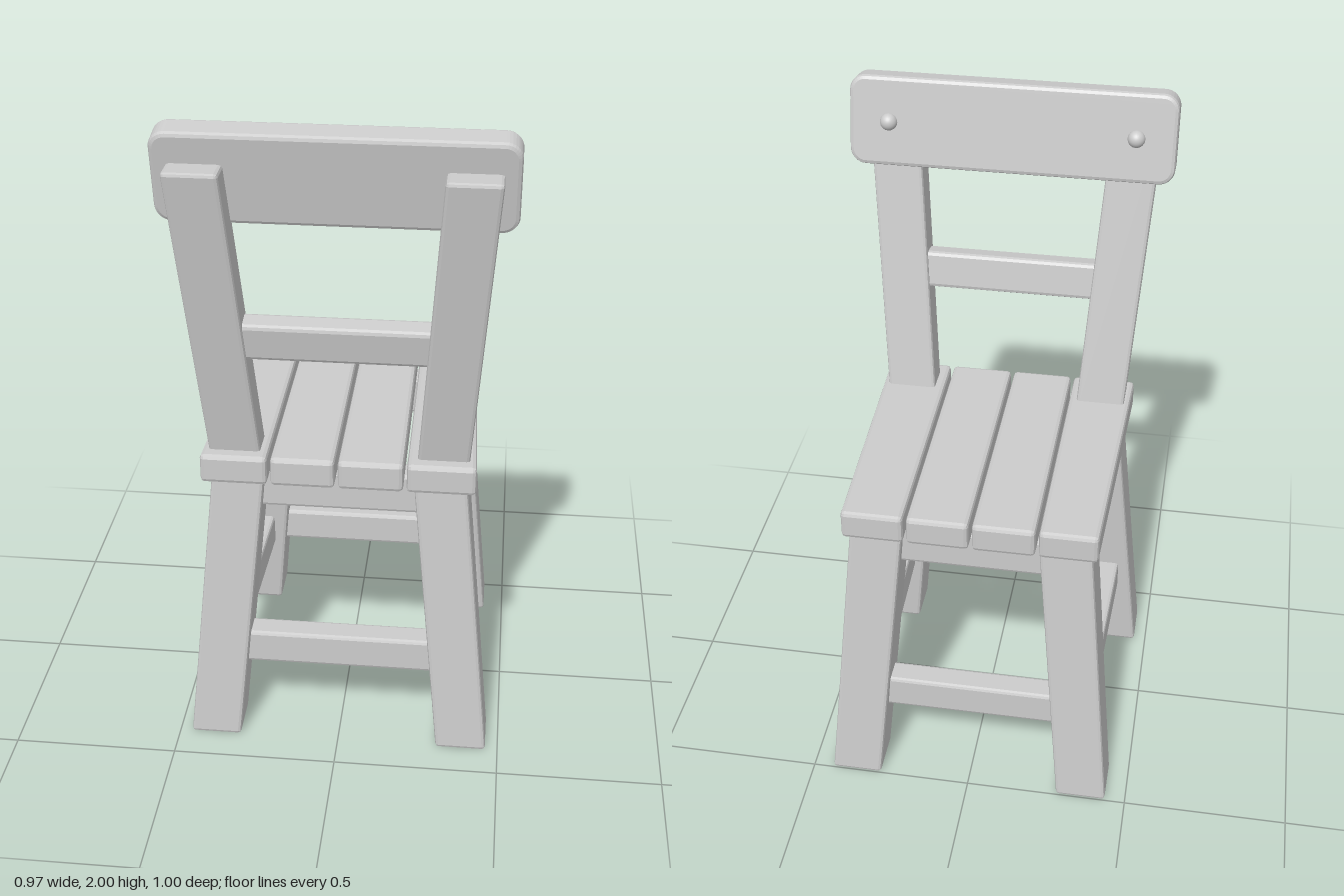
import * as THREE from 'three';
import { RoundedBoxGeometry } from 'three/addons/geometries/RoundedBoxGeometry.js';

const material = new THREE.MeshStandardMaterial({ color: 0xcccccc, flatShading: true });
const smooth = new THREE.MeshStandardMaterial({ color: 0xcccccc });
const lerp = THREE.MathUtils.lerp;
const LEAN = 0.178; // backward lean of the back posts

function mesh(name, geometry, mat = material) {
  const m = new THREE.Mesh(geometry, mat);
  m.name = name;
  return m;
}

// Chamfered beam running up y, sheared so its centre goes from a to b with level ends
function upright(name, w, d, a, b) {
  const h = b[1] - a[1];
  const g = new RoundedBoxGeometry(w, h, d, 1, 0.01);
  const p = g.attributes.position;
  for (let i = 0; i < p.count; i++) {
    const t = p.getY(i) / h + 0.5;
    p.setXYZ(i, p.getX(i) + lerp(a[0], b[0], t), lerp(a[1], b[1], t), p.getZ(i) + lerp(a[2], b[2], t));
  }
  g.computeVertexNormals();
  return mesh(name, g);
}

// Chamfered horizontal bar between two points
function bar(name, h, thick, a, b) {
  const from = new THREE.Vector3(...a), to = new THREE.Vector3(...b);
  const m = mesh(name, new RoundedBoxGeometry(thick, h, from.distanceTo(to), 1, 0.01));
  m.position.copy(from).add(to).multiplyScalar(0.5);
  m.lookAt(to);
  return m;
}

// Seat plank whose side edges follow the taper of the seat
function plank(l0, r0, l1, r1) {
  const z0 = -0.44, z1 = 0.38, gap = 0.005;
  const g = new RoundedBoxGeometry(1, 0.09, z1 - z0, 1, 0.012);
  const p = g.attributes.position;
  for (let i = 0; i < p.count; i++) {
    const t = p.getZ(i) / (z1 - z0) + 0.5;
    const l = lerp(l0, l1, t) + gap, r = lerp(r0, r1, t) - gap;
    // keep the chamfer width while resizing the plank
    const x = p.getX(i), s = Math.sign(x);
    p.setXYZ(i, (l + r) / 2 + x + s * ((r - l) / 2 - 0.5), p.getY(i) + 0.957, lerp(z0, z1, t));
  }
  g.computeVertexNormals();
  return mesh('seatPlank', g);
}

// Rounded board with bevelled rim, centred on its own origin
function boardGeometry(w, h, d, r, bevel) {
  const x = w / 2 - bevel, y = h / 2 - bevel;
  const s = new THREE.Shape();
  s.absarc(x - r, y - r, r, 0, Math.PI / 2);
  s.absarc(-x + r, y - r, r, Math.PI / 2, Math.PI);
  s.absarc(-x + r, -y + r, r, Math.PI, Math.PI * 1.5);
  s.absarc(x - r, -y + r, r, Math.PI * 1.5, Math.PI * 2);
  const g = new THREE.ExtrudeGeometry(s, {
    depth: d - 2 * bevel, bevelSize: bevel, bevelThickness: bevel, bevelSegments: 2, curveSegments: 4,
  });
  return g.translate(0, 0, -d / 2 + bevel);
}

export function createModel() {
  const chair = new THREE.Group();
  chair.name = 'chair';

  // Seat planks
  const edges0 = [-0.38, -0.198, -0.004, 0.188, 0.38];
  const edges1 = [-0.405, -0.2, -0.004, 0.195, 0.405];
  for (let i = 0; i < 4; i++) chair.add(plank(edges0[i], edges0[i + 1], edges1[i], edges1[i + 1]));

  // Splayed legs: centre line at the floor and under the seat
  const legs = {
    back: { a: [0.385, 0, 0.325], b: [0.295, 0.93, 0.265] },
    front: { a: [0.36, 0, -0.425], b: [0.278, 0.93, -0.34] },
  };
  const at = (leg, y, side) => {
    const t = y / 0.93;
    return [side * lerp(leg.a[0], leg.b[0], t), y, lerp(leg.a[2], leg.b[2], t)];
  };

  for (const s of [-1, 1]) {
    for (const key of ['back', 'front']) {
      const { a, b } = legs[key];
      chair.add(upright(key + 'Leg', 0.155, 0.15, [s * a[0], a[1], a[2]], [s * b[0], b[1], b[2]]));
    }
    // Side apron and side stretcher
    chair.add(bar('sideApron', 0.125, 0.08, at(legs.back, 0.863, s), at(legs.front, 0.863, s)));
    chair.add(bar('sideStretcher', 0.11, 0.08, at(legs.back, 0.305, s), at(legs.front, 0.305, s)));
    // Leaning back post
    chair.add(upright('backPost', 0.15, 0.1, [s * 0.302, 0.98, 0.285], [s * 0.365, 1.9, 0.45]));
  }

  // Cross aprons and stretchers
  for (const key of ['back', 'front']) {
    chair.add(bar(key + 'Apron', 0.125, 0.08, at(legs[key], 0.863, -1), at(legs[key], 0.863, 1)));
    chair.add(bar(key + 'Stretcher', 0.11, 0.08, at(legs[key], 0.305, -1), at(legs[key], 0.305, 1)));
  }

  // Rail between the back posts
  const rail = mesh('backRail', new RoundedBoxGeometry(0.62, 0.115, 0.07, 1, 0.012));
  rail.position.set(0, 1.38, 0.357);
  rail.rotation.x = LEAN;
  chair.add(rail);

  // Top board with two domed pegs
  const headrest = new THREE.Group();
  headrest.name = 'headrest';
  headrest.position.set(0, 1.862, 0.371);
  headrest.rotation.x = LEAN;
  headrest.add(mesh('headBoard', boardGeometry(0.966, 0.266, 0.085, 0.035, 0.012)));
  for (const s of [-1, 1]) {
    const dome = new THREE.SphereGeometry(0.026, 16, 8, 0, Math.PI * 2, 0, Math.PI / 2);
    const peg = mesh('peg', dome, smooth);
    peg.rotation.x = -Math.PI / 2;
    peg.position.set(s * 0.365, 0, -0.042);
    headrest.add(peg);
  }
  chair.add(headrest);

  return chair;
}
